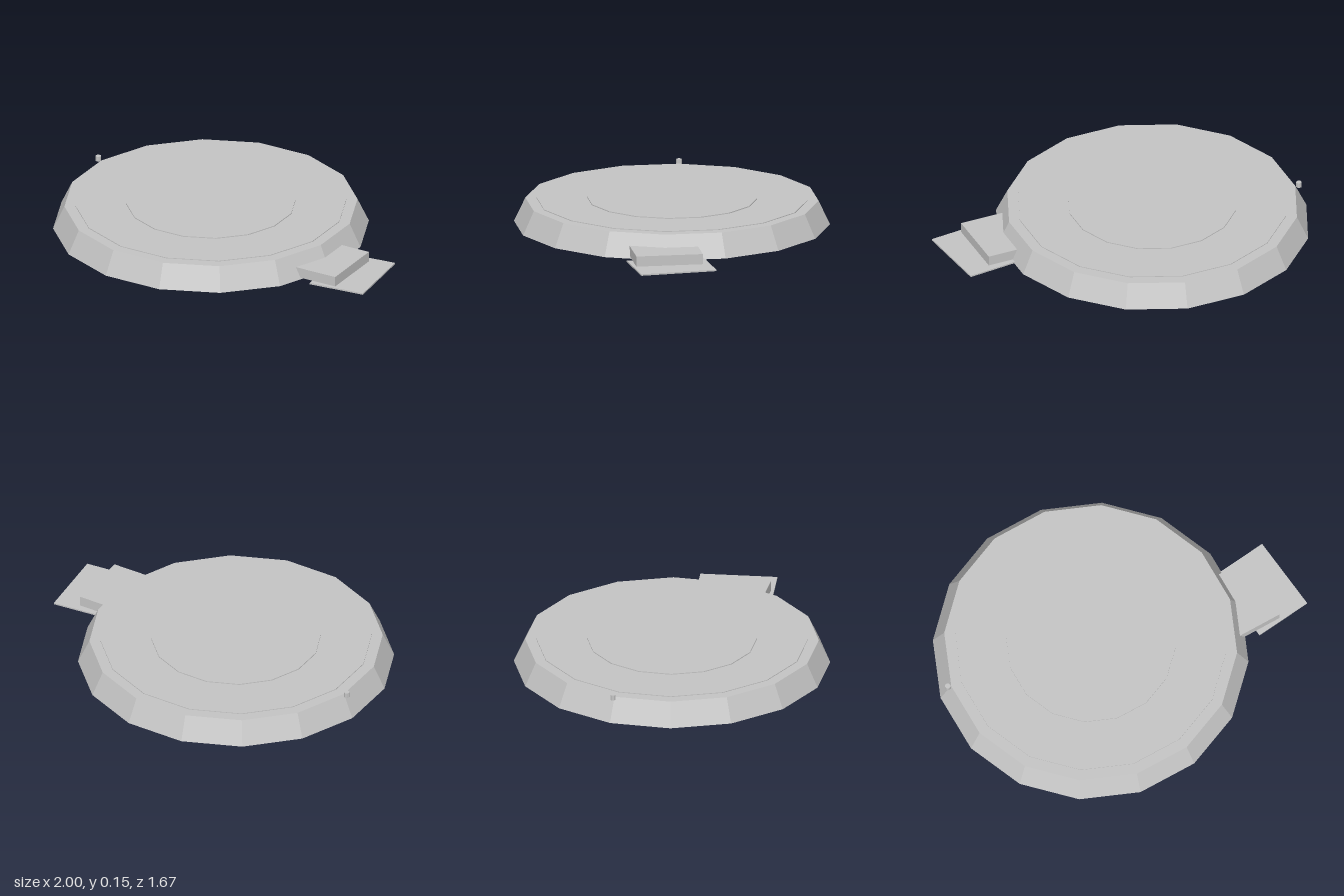
import * as THREE from 'three';

export function createModel() {
  const model = new THREE.Group();
  const grey = new THREE.MeshStandardMaterial({ color: 0xc4c4c4, flatShading: true });
  grey.name = 'plain grey';

  const add = (name, geometry, x, y, z, turn = 0) => {
    const mesh = new THREE.Mesh(geometry, grey);
    mesh.name = name;
    mesh.position.set(x, y, z);
    mesh.rotation.y = THREE.MathUtils.degToRad(turn);
    model.add(mesh);
  };
  // Sixteen-sided discs share one centre
  const disc = (name, topRadius, bottomRadius, y0, y1) =>
    add(name, new THREE.CylinderGeometry(topRadius, bottomRadius, y1 - y0, 16), -0.167, (y0 + y1) / 2, 0);

  // Sloped platform with two shallow steps on top
  disc('platformBase', 0.773, 0.833, 0, 0.127);
  disc('outerStep', 0.715, 0.715, 0.127, 0.131);
  disc('centreDisc', 0.447, 0.447, 0.131, 0.136);

  // Entrance step lying on a thin, slightly turned mat
  add('entranceStep', new THREE.BoxGeometry(0.3, 0.055, 0.354), 0.651, 0.0355, -0.003, 11.5);
  add('entranceMat', new THREE.BoxGeometry(0.308, 0.008, 0.408), 0.791, 0.004, -0.0425, 17.2);

  // Small peg on the opposite rim
  add('rimPeg', new THREE.CylinderGeometry(0.015, 0.015, 0.028, 8), -0.96, 0.134, 0);

  return model;
}
